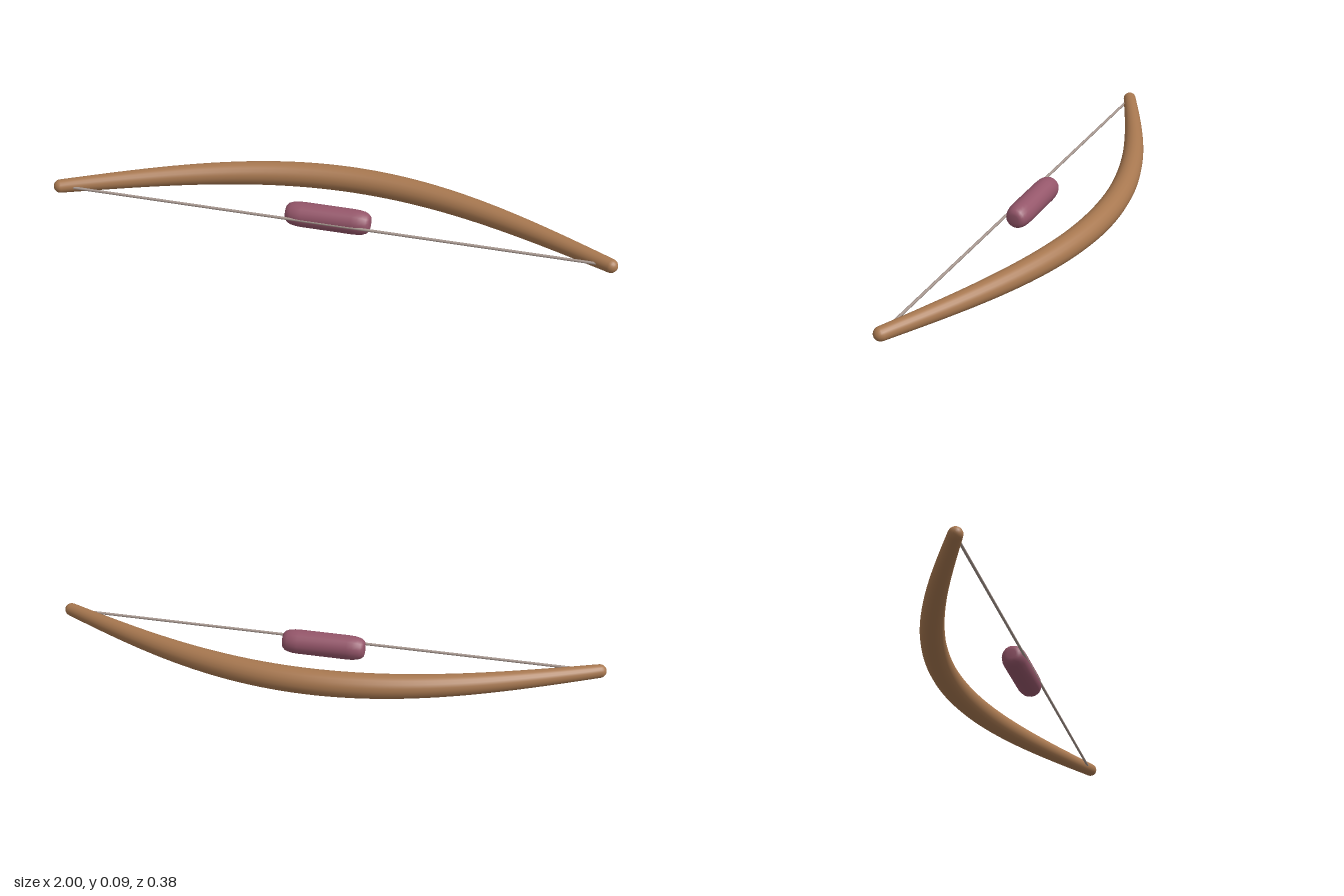
import * as THREE from 'three';
import { mergeVertices } from 'three/addons/utils/BufferGeometryUtils.js';

const MID_Y = 0.0475;
const HALF = 0.976;   // half span up to the centres of the rounded tips
const TIP = 0.024;    // tip radius
const SWELL = 0.0215; // extra radius at the middle

// Lathe turned to lie along x, with a seamless smooth skin
function latheAlongX(points, sides) {
  const geo = new THREE.LatheGeometry(points.map(([r, x]) => new THREE.Vector2(r, x)), sides);
  geo.rotateZ(-Math.PI / 2);
  geo.deleteAttribute('uv');
  geo.deleteAttribute('normal');
  const merged = mergeVertices(geo, 1e-5);
  merged.computeVertexNormals();
  return merged;
}

// Tapered round stave with domed tips, bent along a cosine arc
function staveGeometry() {
  const profile = [];
  const steps = 48, cap = 6;
  for (let i = 0; i < cap; i++) {
    const a = (i / cap) * Math.PI / 2;
    profile.push([TIP * Math.sin(a), -HALF - TIP * Math.cos(a)]);
  }
  for (let i = 0; i <= steps; i++) {
    const x = -HALF + (2 * HALF * i) / steps;
    profile.push([TIP + SWELL * Math.cos((x / HALF) * Math.PI / 2), x]);
  }
  for (let i = cap - 1; i >= 0; i--) {
    const a = (i / cap) * Math.PI / 2;
    profile.push([TIP * Math.sin(a), HALF + TIP * Math.cos(a)]);
  }
  const geo = latheAlongX(profile, 20);
  const pos = geo.attributes.position;
  const k = Math.PI / 2 / HALF, depth = 0.309;
  for (let i = 0; i < pos.count; i++) {
    const x = pos.getX(i), z = pos.getZ(i);
    const xc = THREE.MathUtils.clamp(x, -HALF, HALF);
    const slope = depth * k * Math.sin(k * xc);
    const n = Math.hypot(1, slope);
    const over = x - xc;
    pos.setX(i, xc + (over - slope * z) / n);
    pos.setZ(i, 0.165 - depth * Math.cos(k * xc) + (slope * over + z) / n);
  }
  geo.computeVertexNormals();
  return geo;
}

// Padded grip: a cylinder with softly rounded ends
function gripGeometry() {
  const half = [[0.044, 0.09], [0.043, 0.11], [0.04, 0.128], [0.035, 0.14], [0.027, 0.148], [0.016, 0.15], [0, 0.15]];
  const left = half.map(([r, x]) => [r, -x]).reverse();
  return latheAlongX([...left, ...half], 20);
}

export function createModel() {
  const group = new THREE.Group();
  const add = (name, geo, color, z) => {
    const mesh = new THREE.Mesh(geo, new THREE.MeshStandardMaterial({ color }));
    mesh.name = name;
    mesh.position.set(0, MID_Y, z);
    group.add(mesh);
  };

  add('bowStave', staveGeometry(), 0xa87850, 0);

  // String stretched between the tips
  const string = new THREE.CylinderGeometry(0.005, 0.005, 1.92, 8);
  string.rotateZ(Math.PI / 2);
  add('bowString', string, 0xa89890, 0.164);

  add('grip', gripGeometry(), 0x95566a, 0.124);
  return group;
}
